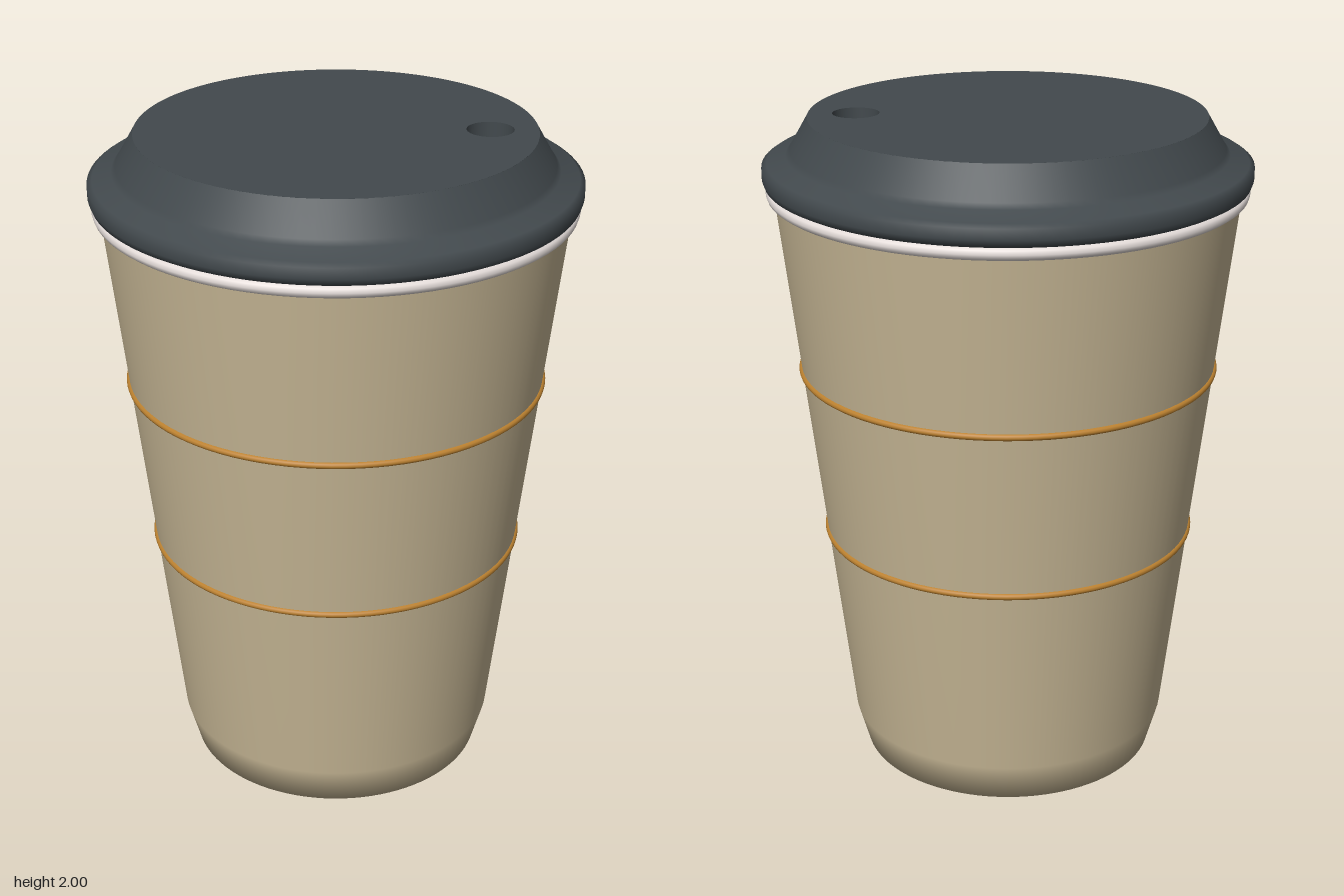
import * as THREE from 'three';

const SEGMENTS = 96;

function material(name, color, side = THREE.FrontSide) {
  const m = new THREE.MeshStandardMaterial({ color, side });
  m.name = name;
  return m;
}

function lathe(points) {
  return new THREE.LatheGeometry(points.map(([r, y]) => new THREE.Vector2(r, y)), SEGMENTS);
}

export function createModel() {
  const group = new THREE.Group();
  group.name = 'travelCup';

  const tan = material('tan', 0xc8b896, THREE.DoubleSide);
  const charcoal = material('charcoal', 0x42494d, THREE.DoubleSide);
  const amber = material('amber', 0xbd8230);
  const paleRim = material('paleRim', 0xe6dedb);

  const add = (name, geometry, mat, y = 0) => {
    const mesh = new THREE.Mesh(geometry, mat);
    mesh.name = name;
    mesh.position.y = y;
    group.add(mesh);
    return mesh;
  };

  // Hollow tapered cup with a softened foot
  add('cupBody', lathe([[0, 0], [0.45, 0], [0.484, 0.12], [0.677, 1.77], [0.678, 1.79]]), tan);

  // Thin bands around the cup and the rolled rim below the lid
  const ring = (name, radius, tube, y, mat) => {
    const geometry = new THREE.TorusGeometry(radius, tube, 10, SEGMENTS);
    geometry.rotateX(Math.PI / 2);
    add(name, geometry, mat, y);
  };
  ring('lowerBand', 0.554, 0.01, 0.73, amber);
  ring('upperBand', 0.615, 0.01, 1.245, amber);
  ring('cupRim', 0.682, 0.019, 1.788, paleRim);

  // Lid skirt: overhanging lip, shoulder and sloped collar
  add('lidSkirt', lathe([
    [0.66, 1.803], [0.685, 1.803], [0.704, 1.813], [0.71, 1.83], [0.71, 1.862],
    [0.695, 1.872], [0.64, 1.893], [0.628, 1.908], [0.575, 2],
  ]), charcoal);

  // Flat lid top, pierced by the drinking hole on the left
  const disc = new THREE.Shape().absarc(0, 0, 0.575, 0, Math.PI * 2);
  disc.holes.push(new THREE.Path().absarc(0.437, 0, 0.068, 0, Math.PI * 2, true));
  const plate = new THREE.ExtrudeGeometry(disc, { depth: 0.1, bevelEnabled: false, curveSegments: SEGMENTS });
  plate.rotateX(-Math.PI / 2);
  add('lidTop', plate, charcoal, 1.9);

  return group;
}
